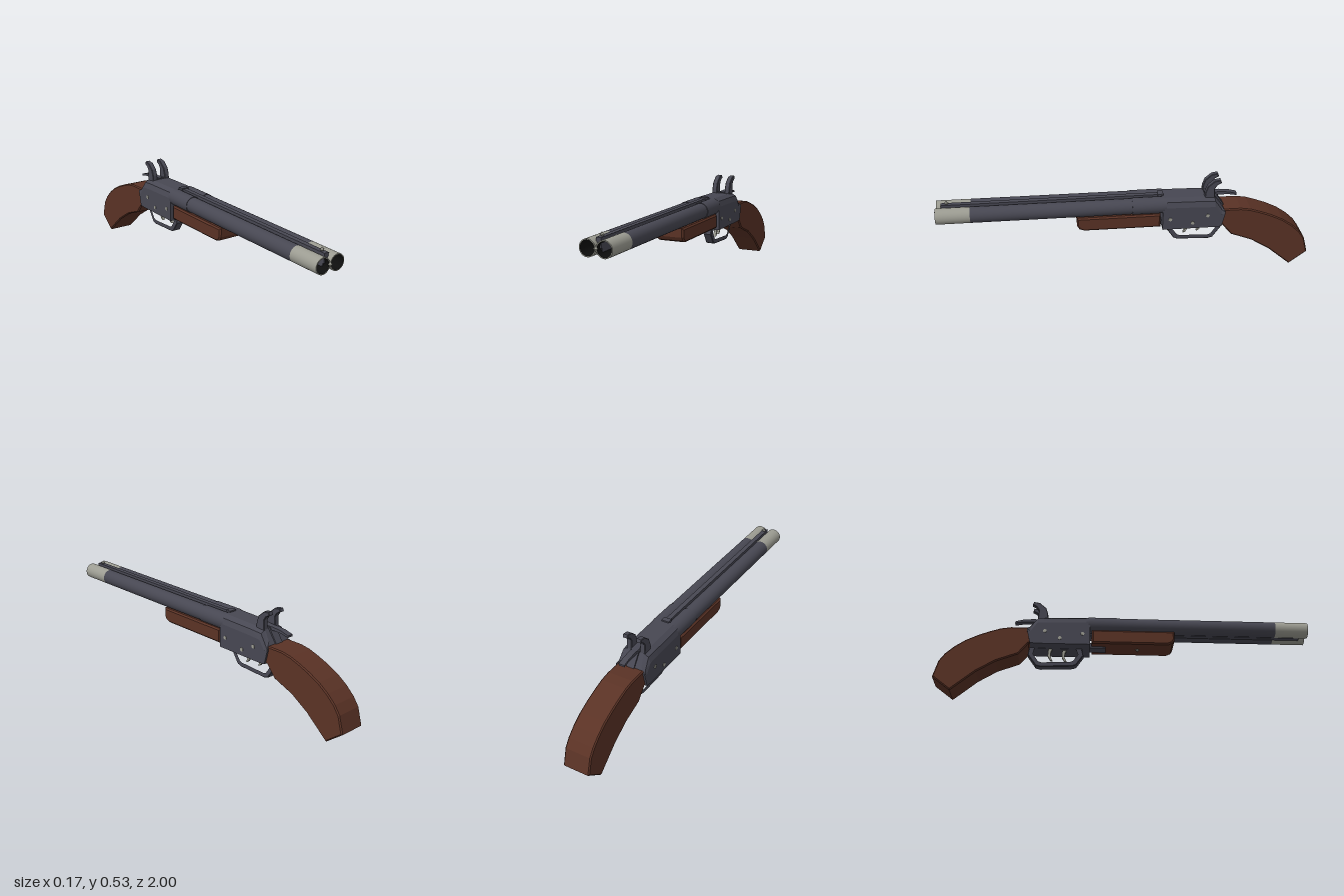
import * as THREE from 'three';

const mat = (name, color, side = THREE.FrontSide) => new THREE.MeshStandardMaterial({ name, color, side });

export function createModel() {
  const group = new THREE.Group();
  const gunmetal = mat('gunmetal', 0x474752);
  const wood = mat('dark wood', 0x5a3225);
  const steel = mat('bright steel', 0x9c9c92);
  const black = mat('bore black', 0x0e0e0e, THREE.DoubleSide);

  const add = (name, geo, material, x = 0, y = 0, z = 0) => {
    const mesh = new THREE.Mesh(geo, material);
    mesh.name = name;
    mesh.position.set(x, y, z);
    group.add(mesh);
    return mesh;
  };
  const box = (name, w, h, d, material, x, y, z) => add(name, new THREE.BoxGeometry(w, h, d), material, x, y, z);

  // Extrude a side outline of [z, y] points across x, with an optional bevel kept inside the outline
  const sideExtrude = (points, width, bevel = 0, hole = null) => {
    const toVec = (p) => new THREE.Vector2(p[0], p[1]);
    const shape = new THREE.Shape(points.map(toVec));
    if (hole) shape.holes.push(new THREE.Path(hole.map(toVec)));
    const geo = new THREE.ExtrudeGeometry(shape, {
      depth: width - 2 * bevel, bevelEnabled: bevel > 0, bevelSize: bevel,
      bevelThickness: bevel, bevelOffset: -bevel, bevelSegments: 1,
    });
    geo.translate(0, 0, bevel - width / 2);
    return geo.rotateY(-Math.PI / 2);
  };

  // Flat-faced skin over equal-length rings of [x, y, z], capped at both ends
  const loft = (rings) => {
    const n = rings[0].length, pos = [];
    const tri = (a, b, c) => pos.push(...a, ...b, ...c);
    for (let i = 0; i < rings.length - 1; i++) {
      for (let j = 0; j < n; j++) {
        const k = (j + 1) % n, a = rings[i], b = rings[i + 1];
        tri(a[j], b[j], a[k]);
        tri(a[k], b[j], b[k]);
      }
    }
    const last = rings[rings.length - 1];
    for (let j = 1; j < n - 1; j++) {
      tri(rings[0][0], rings[0][j], rings[0][j + 1]);
      tri(last[0], last[j + 1], last[j]);
    }
    const geo = new THREE.BufferGeometry();
    geo.setAttribute('position', new THREE.Float32BufferAttribute(pos, 3));
    geo.computeVertexNormals();
    return geo;
  };

  // Open tube along z between two depths
  const tube = (radius, z0, z1) =>
    new THREE.CylinderGeometry(radius, radius, z1 - z0, 32, 1, true).rotateX(Math.PI / 2).translate(0, 0, (z0 + z1) / 2);

  // Twin barrels with bright muzzle sleeves
  const barrelY = 0.402;
  for (const side of [-1, 1]) {
    const x = side * 0.0425;
    add('barrel', tube(0.0418, -0.21, 0.81), gunmetal, x, barrelY);
    add('chamberSleeve', tube(0.0445, -0.2, -0.03), gunmetal, x, barrelY);
    add('chamberSleeveRim', new THREE.RingGeometry(0.04, 0.0445, 32), gunmetal, x, barrelY, -0.03);
    add('muzzleSleeve', tube(0.0418, 0.81, 0.987), steel, x, barrelY);
    add('muzzleRim', new THREE.RingGeometry(0.0365, 0.0418, 32), steel, x, barrelY, 0.987);
    add('bore', tube(0.0365, 0.6, 0.987), black, x, barrelY);
    add('boreEnd', new THREE.CircleGeometry(0.0365, 32), black, x, barrelY, 0.6);
  }

  // Ribs above and below the barrels, with sight beads
  box('topRib', 0.026, 0.05, 1.16, gunmetal, 0, 0.423, 0.38);
  box('bottomRib', 0.026, 0.03, 1.14, gunmetal, 0, 0.383, 0.38);
  box('rearSight', 0.042, 0.012, 0.03, gunmetal, 0, 0.447, -0.185);
  add('frontSight', new THREE.OctahedronGeometry(0.013), steel, 0, 0.455, 0.93);
  add('muzzleBead', new THREE.OctahedronGeometry(0.013), steel, 0, barrelY, 0.987);

  // Wooden fore-end and its fixings
  add('foreEnd', sideExtrude([[-0.18, 0.285], [0.225, 0.285], [0.25, 0.295], [0.262, 0.315],
    [0.262, 0.362], [-0.18, 0.362]], 0.154, 0.008), wood);
  add('foreEndScrew', new THREE.OctahedronGeometry(0.012), steel, 0, 0.285, 0.065);
  box('hingeBlock', 0.06, 0.03, 0.09, gunmetal, 0, 0.292, -0.15);

  // Receiver: bevelled block whose back slopes down to the stock
  const section = ([z, bottom, top, halfTop]) => {
    const h = Math.min(0.045, (top - bottom) / 2);
    const half = [[0.084, bottom], [0.084, top - h], [(0.084 + halfTop) / 2 + 0.008, top - h * 0.35], [halfTop, top]];
    return [...half, ...half.slice().reverse().map(([x, y]) => [-x, y])].map(([x, y]) => [x, y, z]);
  };
  add('receiver', loft([
    [-0.19, 0.272, 0.446, 0.048], [-0.4, 0.272, 0.442, 0.048], [-0.47, 0.272, 0.438, 0.045],
    [-0.507, 0.275, 0.387, 0.055], [-0.525, 0.352, 0.362, 0.07],
  ].map(section)), gunmetal);

  // Side screws through the receiver
  for (const side of [-1, 1]) {
    for (const [z, y] of [[-0.23, 0.333], [-0.35, 0.305], [-0.43, 0.345]]) {
      add('sideScrew', new THREE.CylinderGeometry(0.01, 0.01, 0.006, 8).rotateZ(Math.PI / 2), steel, side * 0.084, y, z);
    }
  }

  // Hammers
  for (const side of [-1, 1]) {
    add('hammer', sideExtrude([[-0.415, 0.425], [-0.418, 0.465], [-0.43, 0.5], [-0.465, 0.53], [-0.497, 0.535],
      [-0.503, 0.518], [-0.48, 0.505], [-0.468, 0.485], [-0.472, 0.425]], 0.029, 0.003), gunmetal, side * 0.0385);
  }

  // Opening lever on its raised tang
  add('topLever', sideExtrude([[-0.43, 0.43], [-0.43, 0.447], [-0.5, 0.448], [-0.55, 0.444], [-0.595, 0.432],
    [-0.595, 0.422], [-0.55, 0.43], [-0.5, 0.431]], 0.032), gunmetal);
  add('tang', sideExtrude([[-0.42, 0.42], [-0.42, 0.447], [-0.478, 0.444], [-0.53, 0.365], [-0.48, 0.365]], 0.044), gunmetal);

  // Trigger guard and twin triggers
  add('triggerGuard', sideExtrude(
    [[-0.235, 0.285], [-0.223, 0.235], [-0.26, 0.18], [-0.28, 0.172], [-0.45, 0.165], [-0.475, 0.172], [-0.519, 0.235], [-0.51, 0.285]],
    0.046, 0.003,
    [[-0.262, 0.274], [-0.248, 0.238], [-0.275, 0.2], [-0.29, 0.193], [-0.445, 0.186], [-0.465, 0.193], [-0.494, 0.236], [-0.487, 0.274]],
  ), gunmetal);
  [-0.31, -0.385].forEach((z, i) => {
    add('trigger', sideExtrude([[0, 0.285], [-0.012, 0.255], [-0.014, 0.23], [-0.002, 0.205], [-0.014, 0.208],
      [-0.028, 0.232], [-0.027, 0.26], [-0.02, 0.285]], 0.016), steel, i ? -0.006 : 0.006, 0, z);
  });

  // Curved pistol-grip stock
  add('stock', sideExtrude([
    [-0.5, 0.37], [-0.61, 0.37], [-0.665, 0.361], [-0.72, 0.343], [-0.78, 0.32], [-0.845, 0.288], [-0.9, 0.25],
    [-0.945, 0.208], [-0.975, 0.165], [-1, 0.075], [-0.905, 0.002], [-0.78, 0.108], [-0.68, 0.17],
    [-0.565, 0.214], [-0.515, 0.275], [-0.5, 0.275],
  ], 0.148, 0.006), wood);

  return group;
}
